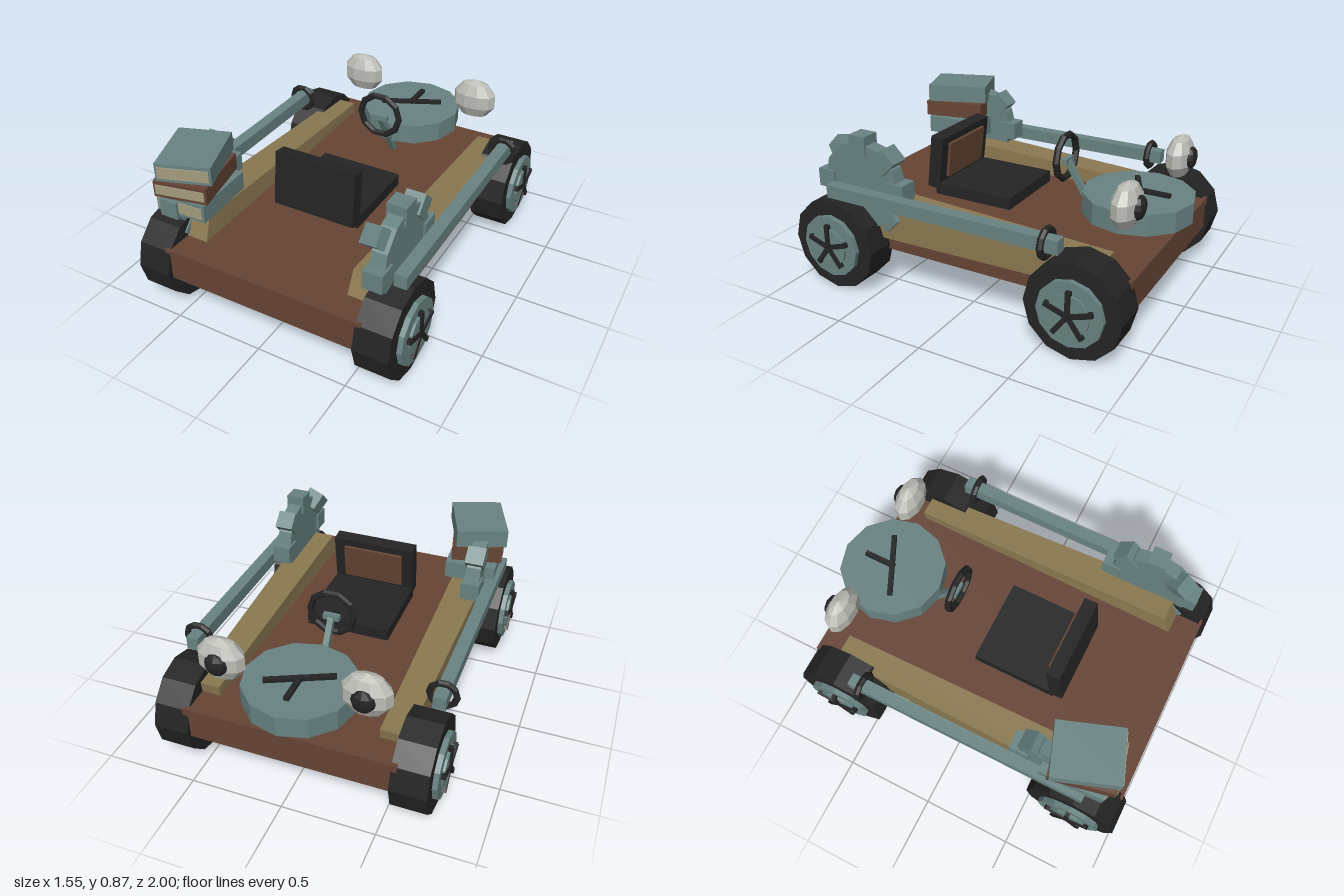
import * as THREE from 'three';

const mat = (name, color) => {
  const m = new THREE.MeshStandardMaterial({ color });
  m.name = name;
  m.flatShading = true;
  return m;
};

export function createModel() {
  const root = new THREE.Group();
  root.name = 'kart';
  const teal = mat('teal metal', 0x688382);
  const black = mat('black rubber', 0x242424);
  const brown = mat('brown wood', 0x654434);
  const tan = mat('tan timber', 0x8a7850);
  const white = mat('lamp white', 0xbcbcb6);
  const page = mat('paper', 0xa39c7e);

  const add = (name, geo, m, x, y, z, parent = root) => {
    const mesh = new THREE.Mesh(geo, m);
    mesh.name = name;
    mesh.position.set(x, y, z);
    parent.add(mesh);
    return mesh;
  };
  const box = (w, h, d) => new THREE.BoxGeometry(w, h, d);
  const group = (name, x, y, z) => {
    const g = new THREE.Group();
    g.name = name;
    g.position.set(x, y, z);
    root.add(g);
    return g;
  };
  // Disc whose axis runs along x
  const disc = (r, w) => new THREE.CylinderGeometry(r, r, w, 12).rotateZ(Math.PI / 2);

  // Flat deck
  add('deck', box(1.13, 0.175, 1.88), brown, 0, 0.3125, 0.03);

  // Tapered side beam, slanted at its thick end
  function beam(side) {
    const g = box(1, 1, 1), p = g.attributes.position;
    for (let i = 0; i < p.count; i++) {
      const thick = p.getZ(i) > 0, top = p.getY(i) > 0, outer = p.getX(i) * side > 0;
      const x = thick ? (outer ? 0.61 : top ? 0.42 : 0.408) : (outer ? 0.57 : 0.43);
      const y = top ? (thick ? 0.525 : 0.46) : 0.305;
      const z = thick ? (top ? 0.77 : 0.86) : (top ? -0.76 : -0.74);
      p.setXYZ(i, x * side, y, z);
    }
    g.computeVertexNormals();
    add('sideBeam', g, tan, 0, 0, 0);
  }

  // Tyre, hub plates and five spokes
  function wheel(side, z) {
    const g = group('wheel', side * 0.63, 0.258, z);
    add('tyre', disc(0.257, 0.19), black, 0, 0, 0, g);
    add('hub', disc(0.175, 0.06), teal, side * 0.092, 0, 0, g);
    add('hubCap', disc(0.11, 0.04), teal, side * 0.115, 0, 0, g);
    for (let i = 0; i < 5; i++) {
      const spoke = box(0.035, 0.13, 0.026).translate(side * 0.127, 0.065, 0);
      add('spoke', spoke, black, 0, 0, 0, g).rotation.x = i * Math.PI * 2 / 5;
    }
  }

  // Cog with eight block teeth
  function cog(side) {
    const g = group('cog', side * 0.578, 0.592, 0.61);
    add('cogBody', disc(0.24, 0.08), teal, 0, 0, 0, g);
    for (let i = 0; i < 8; i++) {
      const a = i * Math.PI / 4;
      const t = add('cogTooth', box(0.104, 0.106, 0.1), teal,
        0, Math.cos(a) * 0.225, Math.sin(a) * 0.225, g);
      t.rotation.x = a;
      if (i === 1) {
        t.position.x = -side * 0.035;
        t.rotation.z = side * 0.35;
      }
    }
  }

  for (const side of [1, -1]) {
    beam(side);
    wheel(side, 0.745);
    wheel(side, -0.68);
    cog(side);

    // Side rail with a ring near its end
    add('sideRail', box(0.066, 0.072, 1.37), teal, side * 0.667, 0.553, 0.095);
    add('railRing', new THREE.TorusGeometry(0.07, 0.018, 6, 10), black, side * 0.667, 0.553, -0.517);

    // Round lamp with dark centre
    add('lamp', new THREE.SphereGeometry(1, 10, 5).scale(0.134, 0.122, 0.073), white,
      side * 0.375, 0.69, -0.79);
    add('lampCentre', new THREE.SphereGeometry(1, 8, 6).scale(0.062, 0.062, 0.035), black,
      side * 0.375, 0.69, -0.85);
  }

  // Clock dial with hands
  add('clockDial', new THREE.CylinderGeometry(0.294, 0.294, 0.115, 12), teal, 0, 0.543, -0.706);
  add('shortHand', box(0.028, 0.02, 0.18), black, 0, 0.61, -0.785);
  add('longHand', box(0.36, 0.02, 0.028), black, 0, 0.61, -0.71).rotation.y = 0.44;

  // Steering wheel and sloping column
  add('steeringWheel', new THREE.TorusGeometry(0.121, 0.019, 6, 10), black, 0, 0.718, -0.286);
  add('steeringHub', box(0.09, 0.03, 0.03), teal, 0, 0.7, -0.295);
  add('steeringColumn', box(0.032, 0.36, 0.03), teal, 0, 0.55, -0.385).rotation.x = 0.54;

  // Seat with forward-tilted back and wooden panel
  add('seatBase', box(0.47, 0.065, 0.47), black, 0, 0.48, 0.165);
  const back = group('seatBack', 0, 0.63, 0.4);
  back.rotation.x = -0.12;
  add('seatBackBlock', box(0.47, 0.3, 0.075), black, 0, 0, 0, back);
  add('seatBackPanel', box(0.345, 0.2, 0.03), brown, 0, 0.01, -0.04, back);

  // Twisted stack of three books
  const books = [
    [0.608, 0.1, 0.05, -0.525, 0.69, teal],
    [0.72, 0.09, 0.21, -0.523, 0.715, brown],
    [0.825, 0.1, 0.34, -0.523, 0.707, teal],
  ];
  for (const [y, h, turn, x, z, cover] of books) {
    const g = group('book', x, y, z);
    g.rotation.y = turn;
    add('cover', box(0.285, h, 0.355), cover, 0, 0, 0, g);
    add('pages', box(0.262, h - 0.037, 0.008), page, 0, 0, 0.179, g);
  }

  return root;
}
